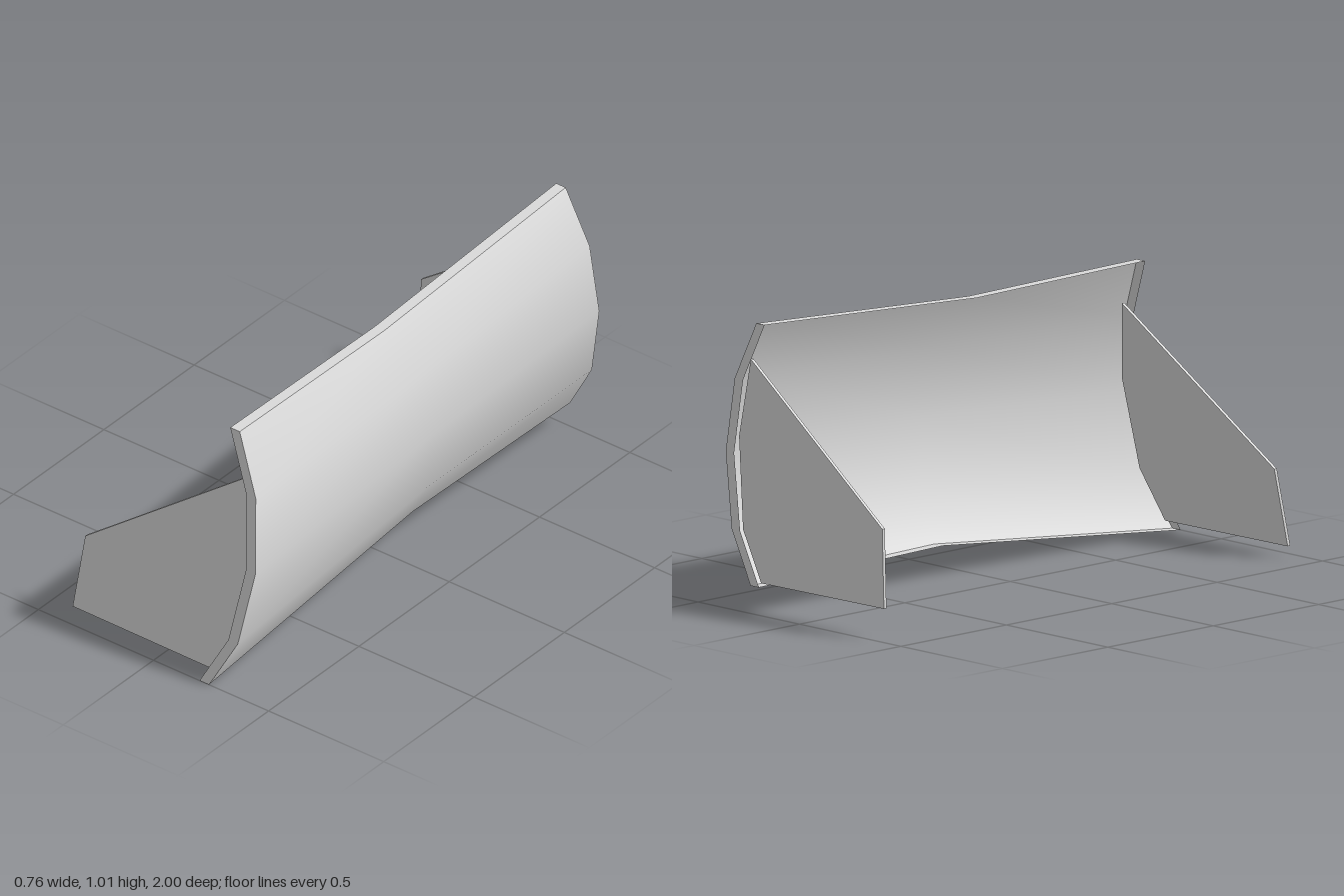
import * as THREE from 'three';
import { mergeGeometries } from 'three/addons/utils/BufferGeometryUtils.js';

// Curved profile: [rim x, fraction of height]
const PROFILE = [[0.2, 0], [0.3, 0.2], [0.34, 0.49], [0.306, 0.775], [0.208, 1]];
// Stations along the length, front to back: base height, height, base z, lean in z
const STATIONS = [
  { y: 0, h: 0.963, z: 1, lean: -0.16 },
  { y: 0.113, h: 0.84, z: -0.13, lean: 0.17 },
  { y: 0.097, h: 0.911, z: -1, lean: 0.035 },
];
const RIM = 0.041;
const PLATE = 0.012;

// Surface patch from a grid of points; faces along du x dv
function patch(nu, nv, point) {
  const pos = [], idx = [];
  for (let u = 0; u < nu; u++) for (let v = 0; v < nv; v++) pos.push(...point(u, v));
  for (let u = 0; u < nu - 1; u++) for (let v = 0; v < nv - 1; v++) {
    const a = u * nv + v, b = a + nv;
    idx.push(a, b, b + 1, a, b + 1, a + 1);
  }
  const g = new THREE.BufferGeometry();
  g.setAttribute('position', new THREE.Float32BufferAttribute(pos, 3));
  g.setIndex(idx);
  g.computeVertexNormals();
  return g;
}

// Point on the panel: side 0 = free edge of the rim, 1 = curved sheet
function panelPoint(s, r, side) {
  const st = STATIONS[s], [x, f] = PROFILE[r];
  return [x + side * RIM, st.y + st.h * f, st.z + st.lean * f];
}

// Rim turned inwards around the sheet, open on the inside
function rimGeometry() {
  const S = STATIONS.length, R = PROFILE.length;
  return mergeGeometries([
    patch(2, S, (w, s) => panelPoint(s, R - 1, w)),     // top edge
    patch(S, 2, (s, w) => panelPoint(s, 0, w)),         // bottom edge
    patch(2, R, (w, r) => panelPoint(0, r, w)),         // front edge
    patch(R, 2, (r, w) => panelPoint(S - 1, r, w)),     // back edge
  ]);
}

// Thin end plate reaching into the rim, raised by lift; z = base + lean * y
function plateGeometry(lift, base, lean) {
  const shape = new THREE.Shape([
    [-0.383, 0.041], [0.222, 0.037], [0.318, 0.21], [0.35, 0.53],
    [0.303, 0.803], [-0.364, 0.315],
  ].map(([x, y]) => new THREE.Vector2(x, y + lift)));
  const g = new THREE.ExtrudeGeometry(shape, { depth: PLATE, bevelEnabled: false });
  const p = g.attributes.position;
  for (let i = 0; i < p.count; i++) p.setZ(i, p.getZ(i) + base + lean * p.getY(i));
  g.computeVertexNormals();
  return g;
}

export function createModel() {
  const grey = new THREE.MeshStandardMaterial({ color: 0xdadada, side: THREE.DoubleSide });
  grey.name = 'light grey';
  const model = new THREE.Group();
  model.name = 'curvedBlade';
  const add = (name, geometry) => {
    const mesh = new THREE.Mesh(geometry, grey);
    mesh.name = name;
    model.add(mesh);
  };
  add('curvedSheet', patch(STATIONS.length, PROFILE.length, (s, r) => panelPoint(s, r, 1)));
  add('rim', rimGeometry());
  add('frontEndPlate', plateGeometry(0, 0.966 - PLATE, -0.166));
  add('backEndPlate', plateGeometry(0.067, -0.972, 0.038));
  return model;
}
